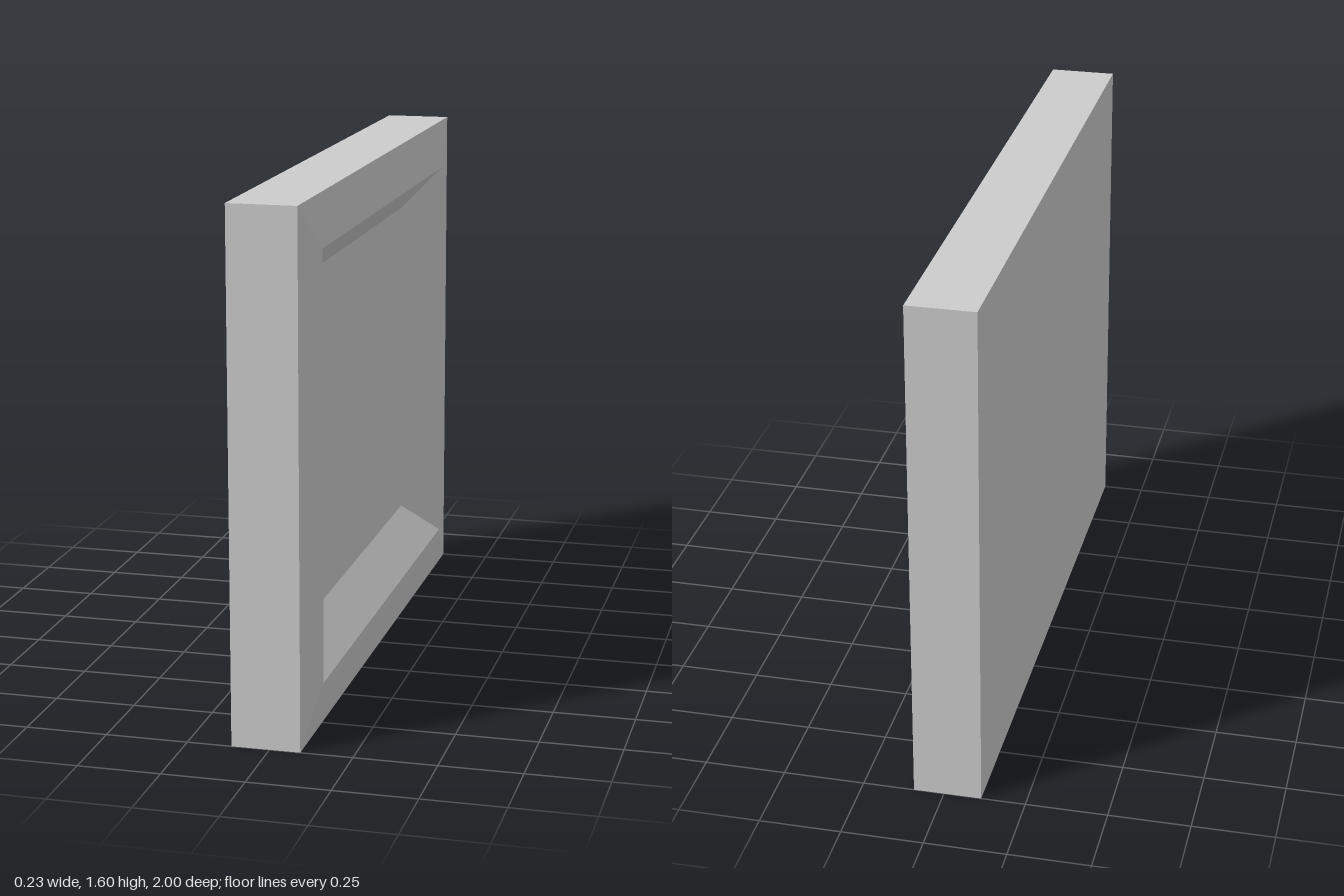
import * as THREE from 'three';

const CENTRE_Y = 0.8;

// Four corners of an upright rectangle at depth x, counter-clockwise seen from +x
function ring(x, halfZ, halfY) {
  return [[1, -1], [-1, -1], [-1, 1], [1, 1]].map(([z, y]) => [x, CENTRE_Y + y * halfY, z * halfZ]);
}

function meshFromQuads(name, quads, material) {
  const points = quads.flatMap(([a, b, c, d]) => [a, b, c, a, c, d]);
  const geometry = new THREE.BufferGeometry();
  geometry.setAttribute('position', new THREE.Float32BufferAttribute(points.flat(), 3));
  geometry.computeVertexNormals();
  const mesh = new THREE.Mesh(geometry, material);
  mesh.name = name;
  return mesh;
}

// Mitred band of four quads joining one rectangle to the next
function band(from, to) {
  return from.map((corner, i) => {
    const j = (i + 1) % 4;
    return [corner, from[j], to[j], to[i]];
  });
}

export function createModel() {
  const grey = new THREE.MeshStandardMaterial({ color: 0xcccccc });
  grey.name = 'light grey';

  const back = ring(-0.115, 1, 0.8);
  const rim = ring(0.093, 1, 0.8);
  const lip = ring(0.115, 0.815, 0.65);
  const inner = ring(0.008, 0.675, 0.53);

  const group = new THREE.Group();
  group.name = 'framedPanel';
  group.add(
    meshFromQuads('outerSides', band(back, rim), grey),
    meshFromQuads('frameFace', band(rim, lip), grey),
    meshFromQuads('innerBevel', band(lip, inner), grey),
    meshFromQuads('recessedPanel', [inner], grey),
    meshFromQuads('backPanel', [[...back].reverse()], grey),
  );
  return group;
}
